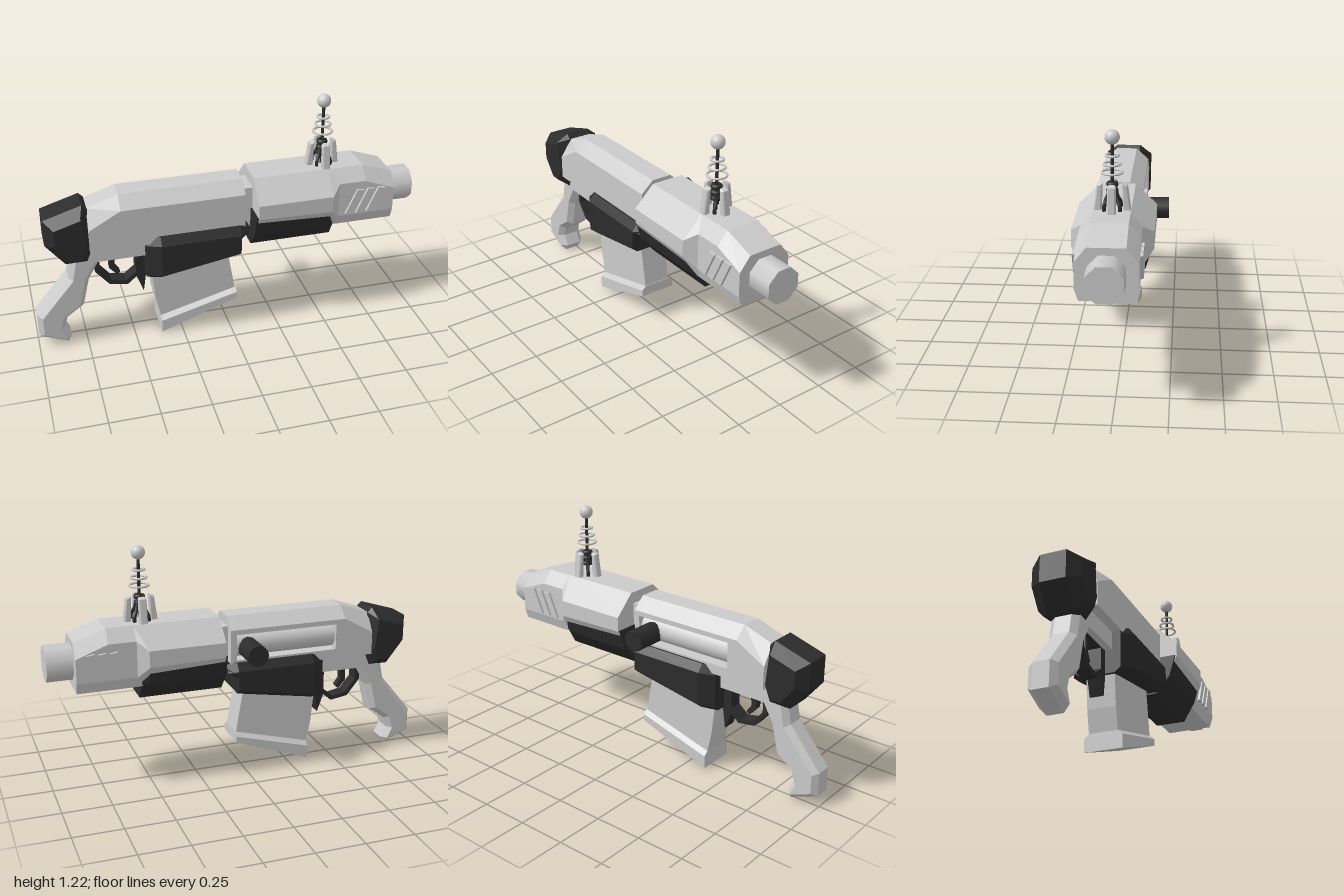
import * as THREE from 'three';

const grey = new THREE.MeshStandardMaterial({ color: 0xcccccc });
const dark = new THREE.MeshStandardMaterial({ color: 0x2c2c2c });

// Mirror half a cross-section ([z, y] from top to bottom) into a full ring
const mirror = (half) => [...half, ...half.slice().reverse().map(([z, y]) => [-z, y])];

// Flat-shaded solid through rings [x, [[z, y], ...]] ordered along +x
function loft(sections) {
  const rings = sections.map(([x, ring]) => ring.map(([z, y]) => [x, y, z]));
  const n = rings[0].length, pos = [];
  const tri = (a, b, c) => pos.push(...a, ...b, ...c);
  for (let s = 0; s < rings.length - 1; s++) {
    const a = rings[s], b = rings[s + 1];
    for (let i = 0; i < n; i++) {
      const j = (i + 1) % n;
      tri(a[i], a[j], b[j]);
      tri(a[i], b[j], b[i]);
    }
  }
  const first = rings[0], last = rings[rings.length - 1];
  for (let i = 1; i < n - 1; i++) {
    tri(first[0], first[i + 1], first[i]);
    tri(last[0], last[i], last[i + 1]);
  }
  const g = new THREE.BufferGeometry();
  g.setAttribute('position', new THREE.Float32BufferAttribute(pos, 3));
  g.computeVertexNormals();
  return g;
}

// Side outline extruded symmetrically in z, with an optional chamfer
function plate(outline, half, chamferDepth = 0, chamferSize = chamferDepth, hole) {
  const shape = new THREE.Shape(outline.map((p) => new THREE.Vector2(...p)));
  if (hole) shape.holes.push(new THREE.Path(hole.map((p) => new THREE.Vector2(...p))));
  const depth = 2 * (half - chamferDepth);
  return new THREE.ExtrudeGeometry(shape, {
    depth, bevelEnabled: chamferDepth > 0, bevelSegments: 1,
    bevelThickness: chamferDepth, bevelSize: chamferSize, bevelOffset: -chamferSize,
  }).translate(0, 0, -depth / 2);
}

export function createModel() {
  const model = new THREE.Group();
  const body = new THREE.Group();
  body.name = 'blaster';
  body.position.z = 0.03;
  model.add(body);
  const add = (name, geometry, material = grey, parent = body) => {
    const m = new THREE.Mesh(geometry, material);
    m.name = name;
    parent.add(m);
    return m;
  };

  // Receiver with a bolt window cut into its right side
  const receiverRing = (top, shoulder, sill, lintel, depth) => [
    [0.055, top], [0.12, shoulder], [0.12, 0.57], [-0.12, 0.57],
    [-0.12, sill], [-0.12 + depth, sill], [-0.12 + depth, lintel], [-0.12, lintel],
    [-0.12, shoulder], [-0.055, top]];
  const closed = receiverRing(0.84, 0.78, 0.62, 0.755, 0);
  const open = receiverRing(0.84, 0.78, 0.62, 0.755, 0.08);
  add('receiver', loft([
    [-0.71, receiverRing(0.785, 0.69, 0.6, 0.65, 0)], [-0.55, closed],
    [-0.5, closed], [-0.5, open], [0.05, open], [0.05, closed], [0.08, closed]]));
  add('bolt', new THREE.CylinderGeometry(0.065, 0.065, 0.55, 16)
    .rotateZ(Math.PI / 2).translate(-0.225, 0.685, -0.04));
  add('boltHandle', new THREE.CylinderGeometry(0.055, 0.055, 0.19, 12)
    .rotateX(Math.PI / 2).translate(-0.02, 0.675, -0.155), dark);
  add('neck', new THREE.BoxGeometry(0.1, 0.22, 0.14).translate(0.105, 0.68, 0));

  // Dark rear cap
  add('rearCap', plate([[-0.925, 0.61], [-0.83, 0.49], [-0.72, 0.49], [-0.68, 0.59],
    [-0.705, 0.785], [-0.73, 0.81], [-0.925, 0.75]], 0.125, 0.06, 0.045), dark);

  // Lower housing
  const housing = (x, half, top, bottom) => [x, mirror([
    [half - 0.03, top], [half, top - 0.04], [half, bottom + 0.025], [half - 0.03, bottom]])];
  add('lowerHousing', loft([
    housing(-0.43, 0.115, 0.6, 0.36), housing(-0.36, 0.16, 0.61, 0.375),
    housing(0.05, 0.16, 0.61, 0.445), housing(0.051, 0.16, 0.61, 0.53),
    housing(0.1, 0.135, 0.6, 0.555)]), dark);

  // Grip and the frame above the trigger
  add('grip', plate([[-0.8, 0.52], [-0.825, 0.395], [-0.995, 0.19], [-0.995, 0.065],
    [-0.85, 0.005], [-0.83, 0.04], [-0.86, 0.1], [-0.845, 0.155], [-0.755, 0.22],
    [-0.72, 0.37], [-0.66, 0.475], [-0.66, 0.52]], 0.07, 0.03, 0.025));
  add('frame', new THREE.BoxGeometry(0.34, 0.09, 0.14).translate(-0.58, 0.525, 0));

  // Trigger group
  add('triggerGuard', plate(
    [[-0.685, 0.485], [-0.685, 0.4], [-0.615, 0.315], [-0.52, 0.3], [-0.445, 0.365], [-0.445, 0.485]],
    0.035, 0, 0,
    [[-0.66, 0.475], [-0.465, 0.475], [-0.465, 0.375], [-0.53, 0.322], [-0.605, 0.337], [-0.66, 0.405]]), dark);
  add('trigger', plate([[-0.61, 0.49], [-0.61, 0.4], [-0.57, 0.355], [-0.555, 0.37],
    [-0.583, 0.41], [-0.575, 0.49]], 0.018), dark);
  add('magazineCatch', plate([[-0.475, 0.49], [-0.475, 0.34], [-0.44, 0.245],
    [-0.425, 0.35], [-0.425, 0.49]], 0.035), dark);

  // Magazine with a flared base
  add('magazine', plate([[-0.41, 0.45], [-0.385, 0.21], [-0.36, 0.09], [0.04, 0.2],
    [0, 0.43], [0, 0.48]], 0.073));
  add('magazineBase', loft([
    [-0.362, 0.1, 0.01], [0.043, 0.21, 0.155]].map(([x, t, b], i) => [x, mirror([
    [0.073, t], [0.097, t - (i ? 0.02 : 0.022)], [0.097, b], [0.05, b]])])));

  // Forend: wide at the back, stepping in to flat side panels at the front
  const forend = (x, top, w, shoulder, low, bw, bottom) =>
    [x, mirror([[0.087, top], [w, shoulder], [w, low], [bw, bottom]])];
  add('forend', loft([
    forend(0.13, 0.85, 0.194, 0.745, 0.67, 0.13, 0.56),
    forend(0.52, 0.85, 0.194, 0.745, 0.66, 0.13, 0.55),
    forend(0.57, 0.85, 0.143, 0.785, 0.6, 0.125, 0.545),
    forend(0.71, 0.85, 0.143, 0.785, 0.6, 0.125, 0.545),
    forend(0.87, 0.795, 0.143, 0.725, 0.6, 0.125, 0.545)]));
  const under = mirror([[0.186, 0.672], [0.155, 0.56], [0.08, 0.47]]);
  add('forendUnderside', loft([[0.12, under], [0.515, under],
    [0.55, mirror([[0.14, 0.6], [0.13, 0.56], [0.08, 0.47]])]]), dark);

  // Slanted ribs on both side panels
  for (const side of [-1, 1]) for (let i = 0; i < 3; i++) {
    const x = 0.605 + i * 0.057;
    add('sideRib', plate([[x, 0.612], [x + 0.035, 0.606], [x + 0.098, 0.74], [x + 0.06, 0.746]], 0.014)
      .translate(0, 0, side * 0.142));
  }

  // Eight-sided muzzle
  add('muzzle', new THREE.CylinderGeometry(0.092, 0.092, 0.15, 8, 1, false, Math.PI / 8)
    .rotateZ(-Math.PI / 2).translate(0.925, 0.675, 0));

  // Antenna: rod, rings, ball, four fins and bent braces
  const antenna = new THREE.Group();
  antenna.name = 'antenna';
  antenna.position.set(0.515, 0, 0);
  body.add(antenna);
  add('rod', new THREE.CylinderGeometry(0.008, 0.008, 0.34, 10).translate(0, 1.01, 0), dark, antenna);
  add('ball', new THREE.SphereGeometry(0.035, 24, 16).translate(0, 1.19, 0), grey, antenna);
  [[1.105, 0.029], [1.065, 0.038], [1.026, 0.047]].forEach(([y, r]) =>
    add('ring', new THREE.TorusGeometry(r, 0.006, 8, 28).rotateX(Math.PI / 2).translate(0, y, 0), grey, antenna));
  [0.97, 0.94, 0.91].forEach((y) =>
    add('collar', new THREE.TorusGeometry(0.017, 0.012, 8, 16).rotateX(Math.PI / 2).translate(0, y, 0), dark, antenna));
  const bracePath = new THREE.CatmullRomCurve3([[0.052, 0.84], [0.05, 0.875], [0.032, 0.905], [0.015, 0.95]]
    .map(([r, y]) => new THREE.Vector3(r, y, 0)));
  for (let i = 0; i < 4; i++) {
    const fin = add('fin', plate([[0.05, 0.84], [0.087, 0.84], [0.07, 0.97], [0.045, 0.978]], 0.02, 0.006), grey, antenna);
    fin.rotation.y = i * Math.PI / 2;
    const brace = add('brace', new THREE.TubeGeometry(bracePath, 12, 0.009, 8), dark, antenna);
    brace.rotation.y = (i + 0.5) * Math.PI / 2;
  }
  return model;
}
